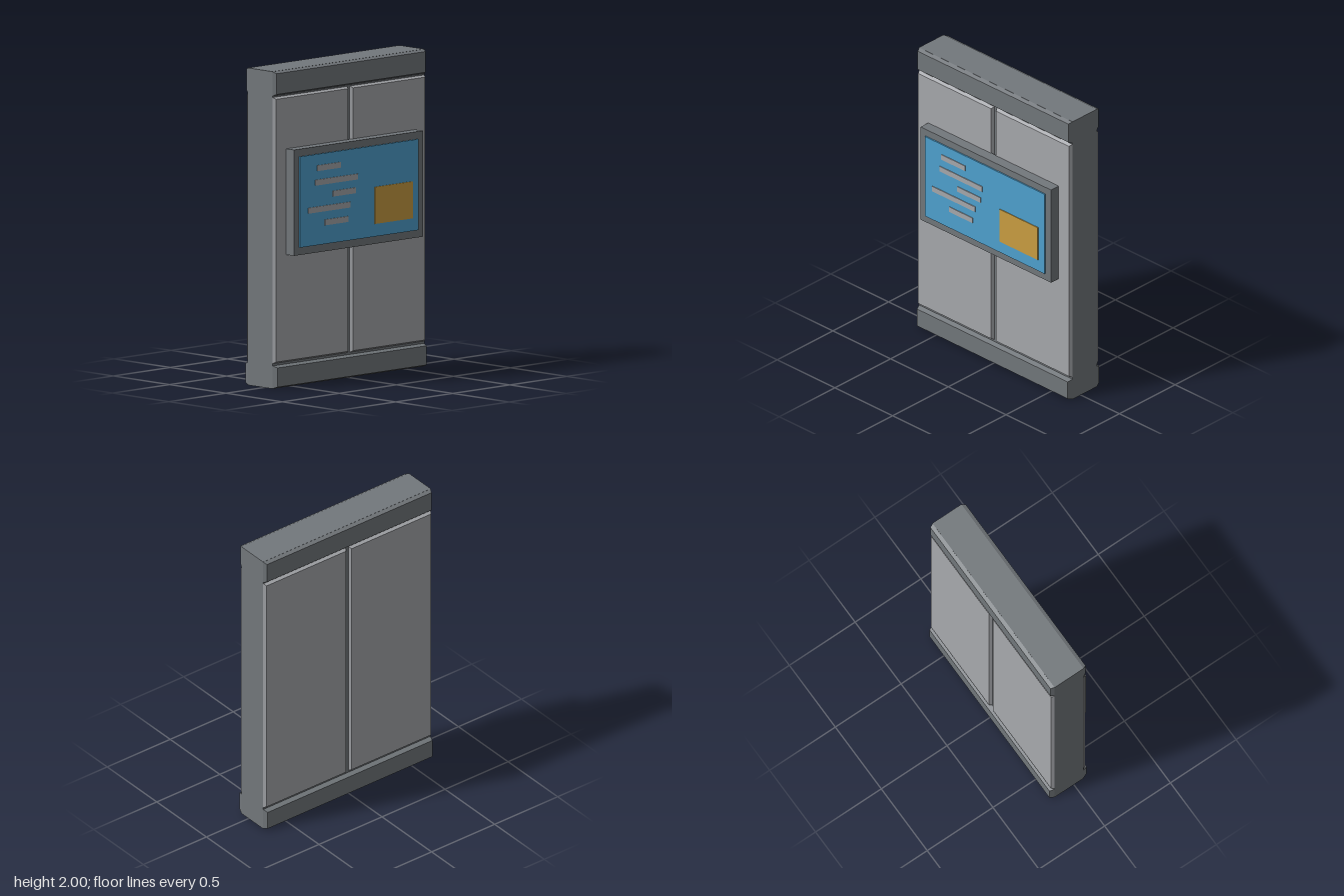
import * as THREE from 'three';

const material = (name, color) => {
  const m = new THREE.MeshStandardMaterial({ color });
  m.name = name;
  return m;
};

// Box given by its limits
function slab(name, mat, [x0, x1], [y0, y1], [z0, z1]) {
  const mesh = new THREE.Mesh(new THREE.BoxGeometry(x1 - x0, y1 - y0, z1 - z0), mat);
  mesh.position.set((x0 + x1) / 2, (y0 + y1) / 2, (z0 + z1) / 2);
  mesh.name = name;
  return mesh;
}

// Box whose front face is inset on all sides, giving a bevelled rim
function bevelled(name, mat, xs, ys, zs, inset) {
  const mesh = slab(name, mat, xs, ys, zs);
  const p = mesh.geometry.attributes.position;
  for (let i = 0; i < p.count; i++) {
    if (p.getZ(i) > 0) {
      p.setX(i, p.getX(i) - Math.sign(p.getX(i)) * inset);
      p.setY(i, p.getY(i) - Math.sign(p.getY(i)) * inset);
    }
  }
  mesh.geometry = mesh.geometry.toNonIndexed();
  mesh.geometry.computeVertexNormals();
  return mesh;
}

export function createModel() {
  const dark = material('dark grey', 0x73787c);
  const light = material('light grey', 0xa8aaae);
  const blue = material('screen blue', 0x4fa3d1);
  const amber = material('amber', 0xcc9f42);

  const model = new THREE.Group();
  model.name = 'informationBoard';

  // Core of the wall; all bevelled cladding sits on its two faces
  const W = 0.665, half = 0.11, midZ = -0.036;
  model.add(slab('core', dark, [-W, W], [0, 2], [midZ - half, midZ + half]));

  // Cladding, the same on front and back
  for (const side of ['front', 'back']) {
    const face = new THREE.Group();
    face.name = side + 'Cladding';
    const z0 = half - 0.002;
    face.add(
      bevelled('topBeam', dark, [-W, W], [1.845, 2], [z0, 0.134], 0.012),
      bevelled('bottomBeam', dark, [-W, W], [0, 0.145], [z0, 0.141], 0.012),
      bevelled('leftPanel', light, [0.01, W], [0.157, 1.838], [z0, 0.13], 0.012),
      bevelled('rightPanel', light, [-W, -0.01], [0.157, 1.838], [z0, 0.13], 0.012)
    );
    face.position.z = midZ;
    if (side === 'back') face.rotation.y = Math.PI;
    model.add(face);
  }

  // Display
  const display = new THREE.Group();
  display.name = 'display';
  display.add(
    slab('displayFrame', dark, [-0.565, 0.565], [0.837, 1.505], [0.09, 0.163]),
    slab('screen', blue, [-0.52, 0.517], [0.885, 1.458], [0.163, 0.172]),
    slab('pictureBlock', amber, [0.13, 0.463], [0.965, 1.198], [0.172, 0.177])
  );

  // Plain bars on the screen: left end, right end, centre height
  const bars = [
    [-0.373, -0.167, 1.37], [-0.389, -0.019, 1.28], [-0.235, -0.034, 1.195],
    [-0.452, -0.082, 1.11], [-0.304, -0.103, 1.021],
  ];
  for (const [x0, x1, y] of bars) {
    display.add(slab('screenBar', light, [x0, x1], [y - 0.018, y + 0.018], [0.172, 0.177]));
  }
  model.add(display);
  return model;
}
